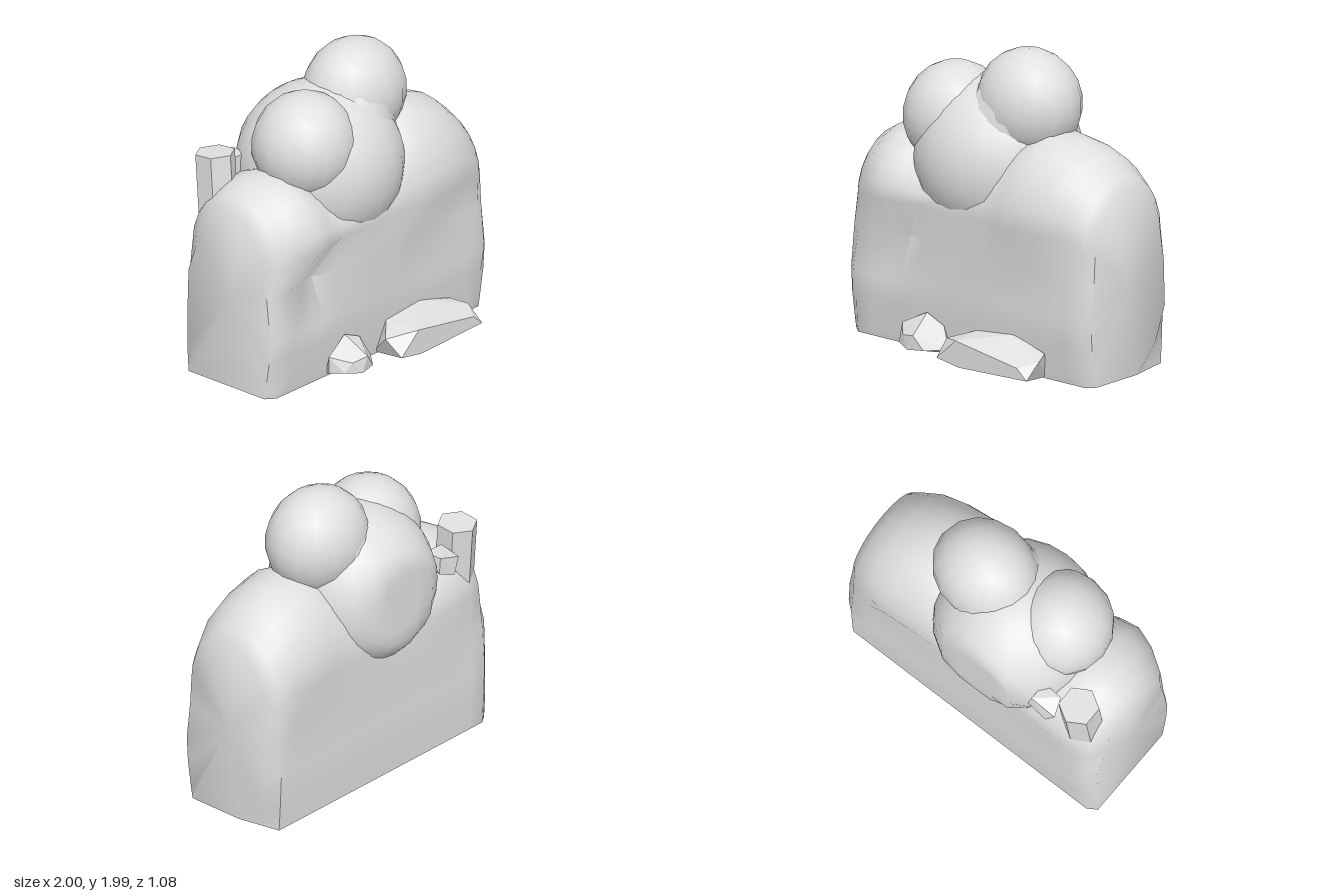
import * as THREE from 'three';
import { toCreasedNormals } from 'three/addons/utils/BufferGeometryUtils.js';
import { ConvexGeometry } from 'three/addons/geometries/ConvexGeometry.js';

// Stations along x: [x, top height, front z, back z, waist z]
const STATIONS = [
  [-1, 1.2, 0.22, -0.35, 0.25], [-0.94, 1.27, 0.29, -0.43, 0.28], [-0.82, 1.34, 0.36, -0.47, 0.28],
  [-0.68, 1.37, 0.41, -0.48, 0.25], [-0.55, 1.34, 0.39, -0.48, 0.22], [-0.4, 1.22, 0.35, -0.47, 0.27],
  [-0.1, 1.25, 0.36, -0.47, 0.3], [0.15, 1.34, 0.35, -0.48, 0.3], [0.3, 1.47, 0.38, -0.48, 0.29],
  [0.46, 1.515, 0.39, -0.49, 0.28], [0.65, 1.475, 0.37, -0.5, 0.28], [0.81, 1.41, 0.33, -0.48, 0.28],
  [0.94, 1.3, 0.28, -0.45, 0.27], [1, 1.23, 0.24, -0.38, 0.25],
];

// Lower points [y, z] of the front (upwards) and the back (downwards)
const FRONT = [[0, 0.28], [0.05, 0.29], [0.25, 0.3], [0.42, 0.33]];
const BACK = [[0.7, -0.45], [0.4, -0.47], [0.17, -0.46], [0, -0.45]];
const FRONT_END = [[0, 0.23], [0.05, 0.24], [0.25, 0.27], [0.42, 0.28]];
const BACK_LEFT = [[0.7, -0.41], [0.4, -0.42], [0.17, -0.33], [0, -0.16]];
const BACK_RIGHT = [[0.7, -0.41], [0.4, -0.42], [0.17, -0.42], [0, -0.41]];

// One closed outline in the yz plane: front side, rounded top, back side
function outline([x, top, front, back, waist]) {
  const end = Math.abs(x) === 1;
  const shoulder = Math.abs(x) > 0.9 ? 0.87 : 0.95;
  const mid = (front + back) / 2, half = (front - back) / 2;
  const pts = [...(end ? FRONT_END : FRONT), [0.69, waist]];
  for (let k = 0; k <= 12; k++) {
    const a = (k / 12) * Math.PI;
    pts.push([shoulder + (top - shoulder) * Math.sin(a), mid + half * Math.cos(a)]);
  }
  pts.push(...(end ? (x > 0 ? BACK_LEFT : BACK_RIGHT) : BACK));
  return pts.map(([y, z]) => [x, y, z]);
}

// Broad slab with two rounded shoulders, lofted along x
function slabGeometry() {
  const rings = STATIONS.map(outline);
  const n = rings[0].length, last = rings.length - 1;
  const pos = rings.flat(2), index = [];
  for (let i = 0; i < last; i++) {
    for (let j = 0; j < n; j++) {
      const k = (j + 1) % n;
      const a = i * n + j, b = a + n, c = (i + 1) * n + k, d = i * n + k;
      index.push(a, b, c, a, c, d);
    }
  }
  // End caps
  const centre = pos.length / 3;
  pos.push(-1, 0.6, -0.06, 1, 0.6, -0.07);
  for (let j = 0; j < n; j++) {
    const k = (j + 1) % n;
    index.push(centre, j, k, centre + 1, last * n + k, last * n + j);
  }
  const geo = new THREE.BufferGeometry();
  geo.setAttribute('position', new THREE.Float32BufferAttribute(pos, 3));
  geo.setIndex(index);
  return toCreasedNormals(geo, 1.0);
}

export function createModel() {
  const group = new THREE.Group();
  const stone = new THREE.MeshStandardMaterial({ color: 0xe0e0e0 });
  stone.name = 'stone grey';

  const add = (name, geo) => {
    const mesh = new THREE.Mesh(geo, stone);
    mesh.name = name;
    group.add(mesh);
    return mesh;
  };
  const lump = (name, [x, y, z], [rx, ry, rz]) => {
    const mesh = add(name, new THREE.SphereGeometry(1, 16, 11));
    mesh.position.set(x, y, z);
    mesh.scale.set(rx, ry, rz);
  };
  // Tapered sleeve that joins two lumps into one mass
  const link = (name, from, to, rFrom, rTo) => {
    const a = new THREE.Vector3(...from), b = new THREE.Vector3(...to);
    const dir = a.clone().sub(b);
    const mesh = add(name, new THREE.CylinderGeometry(rFrom, rTo, dir.length(), 18, 1));
    mesh.position.copy(a).add(b).multiplyScalar(0.5);
    mesh.quaternion.setFromUnitVectors(new THREE.Vector3(0, 1, 0), dir.normalize());
  };
  const rock = (name, pts) => add(name, new ConvexGeometry(pts.map((p) => new THREE.Vector3(...p))));

  add('slab', slabGeometry());

  // Large round upper mass; its back is pressed flat
  const core = new THREE.SphereGeometry(1, 24, 18);
  const p = core.attributes.position;
  for (let i = 0; i < p.count; i++) {
    const z = p.getZ(i) * (p.getZ(i) < 0 ? 0.54 : 0.52) - 0.1;
    p.setXYZ(i, -0.11 + p.getX(i) * 0.54, 1.235 + p.getY(i) * 0.54, Math.max(z, -0.54));
  }
  core.computeVertexNormals();
  add('core', core);
  lump('largeTopLump', [0.175, 1.64, -0.075], [0.358, 0.35, 0.31]);
  lump('smallTopLump', [-0.37, 1.47, 0.0], [0.34, 0.35, 0.335]);
  link('largeNeck', [0.15, 1.64, -0.075], [-0.1, 1.24, -0.08], 0.3, 0.44);
  link('smallNeck', [-0.36, 1.47, -0.02], [-0.15, 1.24, -0.08], 0.32, 0.44);

  // Six-sided post leaning out behind the right shoulder
  const post = add('post', toCreasedNormals(new THREE.CylinderGeometry(0.13, 0.13, 0.8, 6), 0.5));
  post.position.set(-0.815, 1.06, -0.325);
  post.rotation.set(-0.09, 0, -0.02);
  rock('postChip', [
    [-0.7, 1.3, -0.47], [-0.52, 1.36, -0.48], [-0.5, 1.26, -0.49], [-0.64, 1.2, -0.49],
    [-0.66, 1.36, -0.36], [-0.52, 1.36, -0.35], [-0.6, 1.2, -0.35],
  ]);

  // Loose rocks at the foot
  rock('smallRock', [
    [-0.52, 0.16, 0.34], [-0.52, 0.05, 0.34], [-0.34, 0.25, 0.31], [-0.2, 0.19, 0.31],
    [-0.13, 0.05, 0.34], [-0.47, 0.06, 0.43], [-0.42, 0.12, 0.45], [-0.31, 0.14, 0.48],
    [-0.24, 0.05, 0.46], [-0.36, 0.04, 0.48], [-0.45, 0, 0.25], [-0.18, 0, 0.25],
  ]);
  rock('largeRock', [
    [-0.08, 0.16, 0.42], [-0.06, 0.06, 0.54], [0.1, 0.2, 0.54], [0.12, 0.03, 0.54],
    [0.61, 0.12, 0.54], [0.69, 0.05, 0.54], [0.69, 0.15, 0.42], [0.64, 0.17, 0.31],
    [0.37, 0.24, 0.29], [0.07, 0.21, 0.29], [0.0, 0, 0.25], [0.6, 0, 0.25],
    [0.1, 0.01, 0.45], [0.6, 0.02, 0.45],
  ]);
  return group;
}
